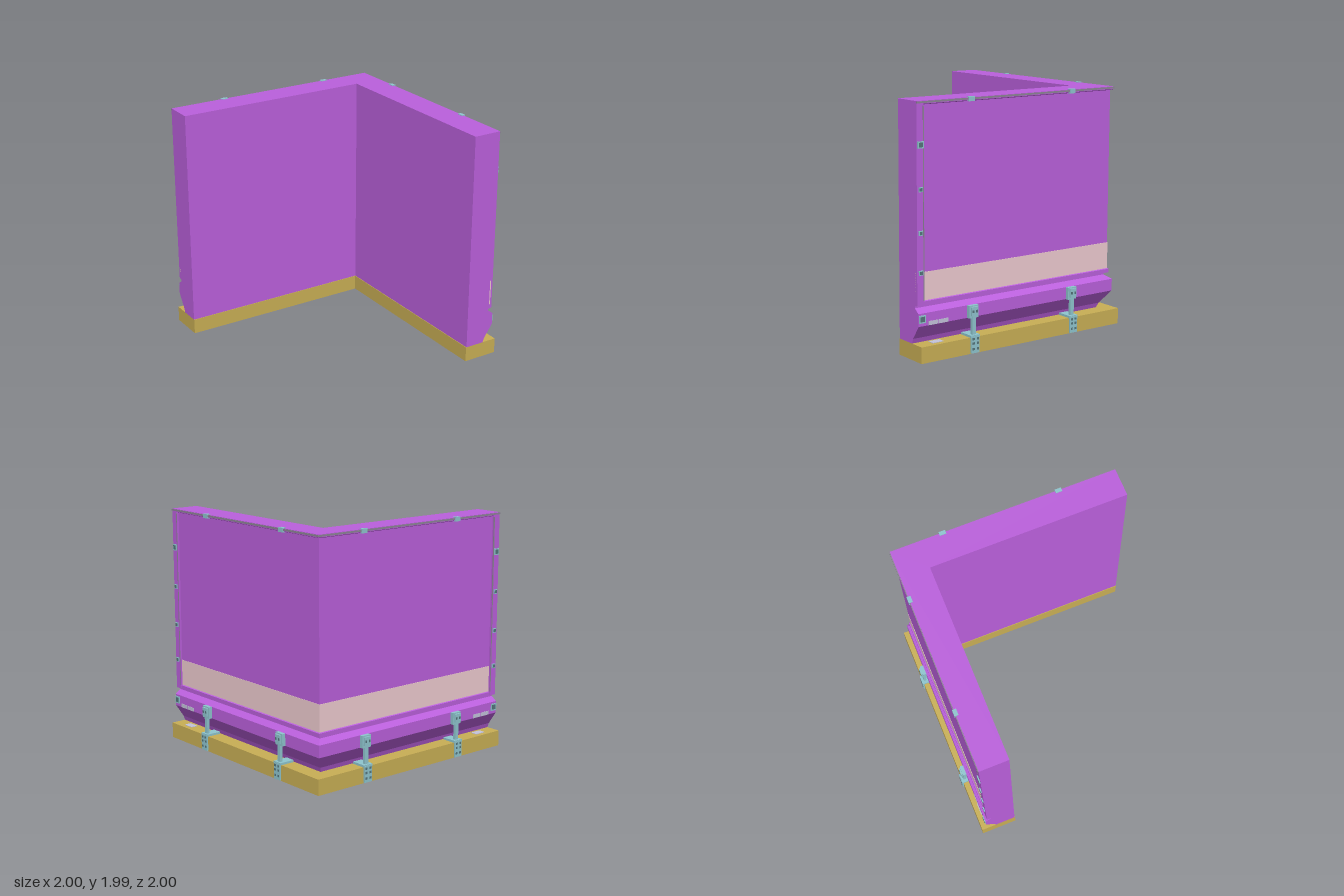
import * as THREE from 'three';

const mat = (color) => new THREE.MeshStandardMaterial({ color, flatShading: true, side: THREE.DoubleSide });

// Sweeps a closed (outward distance, height) outline along both walls with a mitred corner.
function sweepL(outline) {
  const pos = [];
  const stations = [
    ([d, y]) => [d, y, 1],
    ([d, y]) => [d, y, -d],
    ([d, y]) => [-1, y, -d],
  ];
  for (let s = 0; s < 2; s++) {
    outline.forEach((p, i) => {
      const q = outline[(i + 1) % outline.length];
      const a = stations[s](p), b = stations[s + 1](p);
      const c = stations[s + 1](q), e = stations[s](q);
      pos.push(...a, ...b, ...c, ...a, ...c, ...e);
    });
  }
  // End caps
  const pts = outline.map(([d, y]) => new THREE.Vector2(d, y));
  for (const [i, j, k] of THREE.ShapeUtils.triangulateShape(pts, [])) {
    for (const n of [i, j, k]) pos.push(...stations[0](outline[n]));
    for (const n of [i, k, j]) pos.push(...stations[2](outline[n]));
  }
  const g = new THREE.BufferGeometry();
  g.setAttribute('position', new THREE.Float32BufferAttribute(pos, 3));
  g.computeVertexNormals();
  return g;
}

const band = (d0, d1, y0, y1) => [[d0, y0], [d1, y0], [d1, y1], [d0, y1]];

export function createModel() {
  const model = new THREE.Group();
  const purple = mat(0xbb60dd), yellow = mat(0xc9af55), pink = mat(0xeecbd0);
  const teal = mat(0x8fc6cf), dark = mat(0x55757c), silver = mat(0xc4c4dc), rail = mat(0x8d8496);

  const sweep = (name, outline, material) => {
    const m = new THREE.Mesh(sweepL(outline), material);
    m.name = name;
    model.add(m);
  };

  sweep('base', band(0.675, 0.98, 0, 0.13), yellow);
  // Wall with bulging lower trim, recessed panel and top lip
  sweep('wall', [
    [0.68, 0.13], [0.85, 0.13], [0.865, 0.17], [0.94, 0.28], [0.94, 0.38],
    [0.89, 0.415], [0.89, 0.43], [0.92, 0.435], [0.92, 0.465], [0.907, 0.47],
    [0.907, 1.955], [0.925, 1.962], [0.925, 1.985], [0.68, 1.985],
  ], purple);
  sweep('panelStripe', band(0.9, 0.91, 0.47, 0.69), pink);
  sweep('topRail', band(0.92, 0.932, 1.968, 1.982), rail);

  for (const side of ['left', 'back']) {
    const group = new THREE.Group();
    group.name = side + 'Fittings';
    model.add(group);

    // Box between outward distances d0..d1 and heights y0..y1, centred at t along the wall
    const box = (name, d0, d1, y0, y1, t, w, material, parent = group) => {
      const d = (d0 + d1) / 2, onLeft = side === 'left';
      const g = new THREE.BoxGeometry(onLeft ? d1 - d0 : w, y1 - y0, onLeft ? w : d1 - d0);
      const m = new THREE.Mesh(g, material);
      m.position.set(onLeft ? d : -t, (y0 + y1) / 2, onLeft ? t : -d);
      m.name = name;
      parent.add(m);
    };

    // Post framing the free end of the panel
    box('endPost', 0.9, 0.925, 0.44, 1.97, 0.968, 0.064, purple);
    box('endPostGroove', 0.92, 0.927, 0.47, 1.95, 0.94, 0.008, rail);

    // Clips on the end post
    for (const [y, s] of [[0.335, 0.06], [0.69, 0.036], [0.995, 0.036], [1.325, 0.036], [1.66, 0.052]]) {
      box('postClip', 0.9, y < 0.4 ? 0.947 : 0.934, y - s / 2, y + s / 2, 0.968, s, teal);
      box('postClipFace', 0.92, y < 0.4 ? 0.949 : 0.936, y - s / 3, y + s / 3, 0.968, s * 0.65, dark);
    }

    // Name-free plates on the trim and one on the base ledge
    for (const t of [0.865, 0.77]) box('trimPlate', 0.93, 0.943, 0.28, 0.312, t, 0.088, silver);
    box('ledgePlate', 0.88, 0.94, 0.128, 0.134, 0.82, 0.1, silver);

    for (const t of [0.505, -0.485]) {
      // Top clip
      box('topClip', 0.905, 0.938, 1.955, 1.99, t, 0.055, teal);

      // Latch joining trim and base
      const latch = new THREE.Group();
      latch.name = 'latch';
      group.add(latch);
      box('latchHead', 0.935, 0.97, 0.28, 0.38, t, 0.086, teal, latch);
      box('latchHeadCap', 0.96, 0.985, 0.3, 0.37, t, 0.06, teal, latch);
      box('latchRod', 0.948, 0.972, 0.12, 0.3, t, 0.034, teal, latch);
      box('latchFoot', 0.86, 0.99, 0.128, 0.148, t, 0.086, teal, latch);
      box('latchPlate', 0.97, 0.993, 0.005, 0.14, t, 0.076, teal, latch);
      for (const k of [-1, 1]) {
        box('headBolt', 0.98, 0.988, 0.325, 0.345, t + k * 0.018, 0.016, dark, latch);
        for (const y of [0.03, 0.075, 0.11])
          box('plateBolt', 0.985, 0.996, y, y + 0.018, t + k * 0.02, 0.018, dark, latch);
      }
    }
  }
  return model;
}
